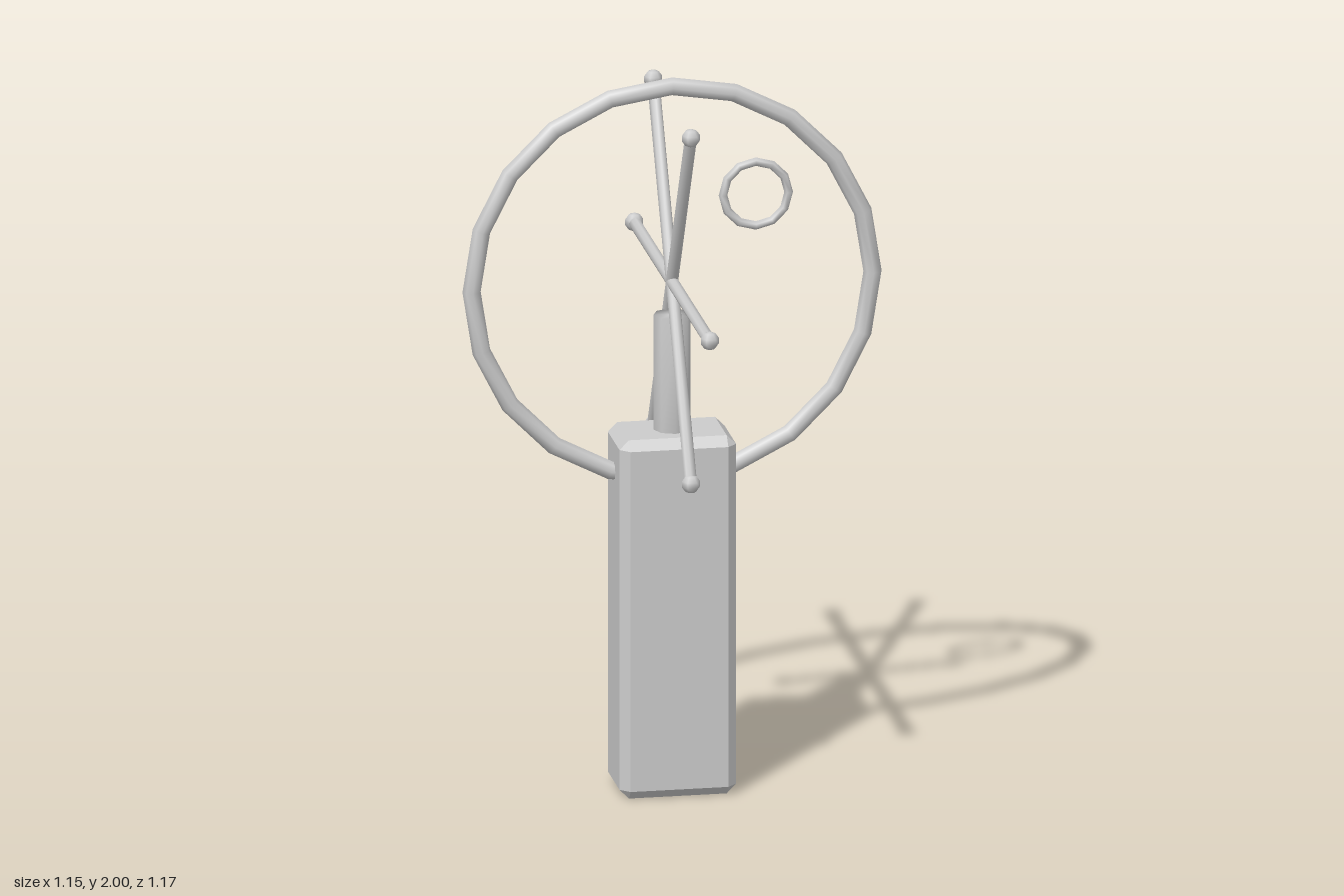
import * as THREE from 'three';
import { mergeVertices } from 'three/addons/utils/BufferGeometryUtils.js';
import { ConvexGeometry } from 'three/addons/geometries/ConvexGeometry.js';

// Weld a geometry so its shading is smooth across every edge
function weld(geometry) {
  geometry.deleteAttribute('normal');
  geometry.deleteAttribute('uv');
  const welded = mergeVertices(geometry, 1e-4);
  welded.computeVertexNormals();
  return welded;
}

// Box with flat chamfers on all edges, from the corners of its six faces
function chamferBox(w, h, d, c) {
  const points = [];
  for (const sx of [-1, 1]) for (const sy of [-1, 1]) for (const sz of [-1, 1]) {
    const x = sx * w / 2, y = sy * h / 2, z = sz * d / 2;
    points.push(
      new THREE.Vector3(x, y - sy * c, z - sz * c),
      new THREE.Vector3(x - sx * c, y, z - sz * c),
      new THREE.Vector3(x - sx * c, y - sy * c, z));
  }
  return new ConvexGeometry(points);
}

export function createModel() {
  const model = new THREE.Group();
  const grey = new THREE.MeshStandardMaterial({ color: 0xcccccc });
  grey.name = 'light grey';

  const add = (name, geometry, x, y, z, parent = model) => {
    const mesh = new THREE.Mesh(geometry, grey);
    mesh.name = name;
    mesh.position.set(x, y, z);
    parent.add(mesh);
    return mesh;
  };

  // Base block and the post on top of it
  add('base', chamferBox(0.32, 1.01, 0.226, 0.026), 0, 0.505, 0);
  add('post', weld(new THREE.CylinderGeometry(0.051, 0.051, 0.36, 8)), 0, 1.153, 0);

  // Large hoop, and the small ring inside it
  const hubY = 1.425;
  add('hoop', new THREE.TorusGeometry(0.55, 0.025, 8, 20), 0, hubY, 0);
  add('smallRing', new THREE.TorusGeometry(0.09, 0.012, 6, 12), 0.23, 1.66, 0);

  // Six spokes in the side plane, each tipped with a ball
  const spokes = new THREE.Group();
  spokes.name = 'spokes';
  model.add(spokes);
  const reach = 0.563;
  const bar = weld(new THREE.CylinderGeometry(0.017, 0.017, reach * 2, 8));
  const ball = new THREE.SphereGeometry(0.026, 6, 5);
  for (let i = 0; i < 3; i++) {
    const angle = Math.PI / 6 + i * Math.PI / 3;
    add('spokeBar', bar, 0, hubY, 0, spokes).rotation.x = angle;
    for (const s of [-1, 1]) {
      add('spokeBall', ball, 0, hubY + s * reach * Math.cos(angle), s * reach * Math.sin(angle), spokes);
    }
  }
  return model;
}
